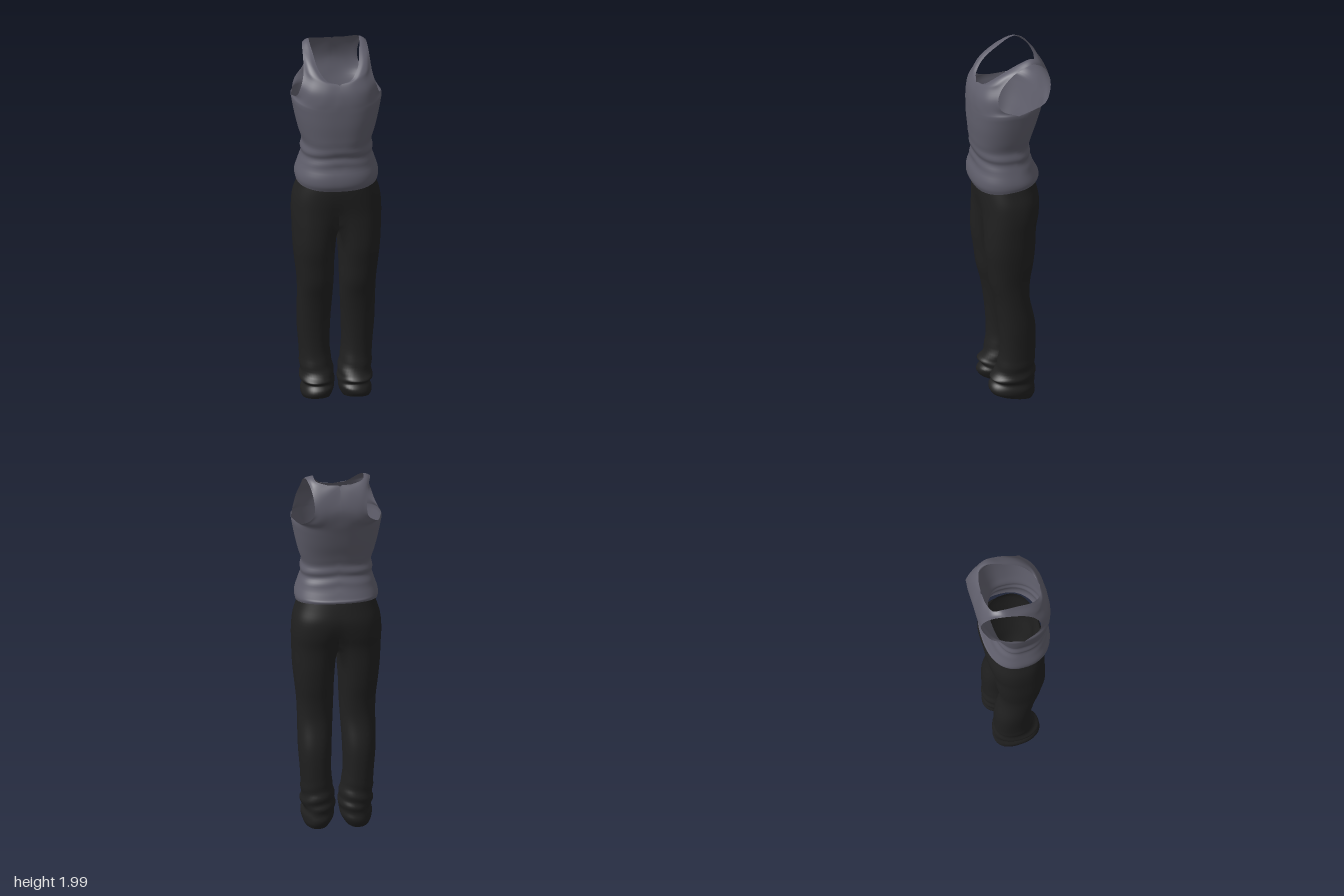
import * as THREE from 'three';
import { mergeGeometries, mergeVertices } from 'three/addons/utils/BufferGeometryUtils.js';

const { lerp } = THREE.MathUtils;
const V = (x, y, z) => new THREE.Vector3(x, y, z);
const N = 16; // segments across each row
const range = (n, fn) => Array.from({ length: n + 1 }, (_, i) => fn(i / n));
// Signed power: squares off an ellipse a little
const sq = (v, p = 0.83) => Math.sign(v) * Math.abs(v) ** p;

// Smooth patch through rows of points; side -1 mirrors it across x
function patch(rows, side, flip = false, fold = null) {
  const steps = (rows.length - 1) * 4;
  const cols = rows[0].map((_, i) => new THREE.CatmullRomCurve3(rows.map(r => r[i])).getPoints(steps));
  const n = cols.length, pos = [], idx = [];
  for (let j = 0; j <= steps; j++) {
    for (let i = 0; i < n; i++) {
      const p = cols[i][j].clone();
      if (fold) fold(p);
      pos.push(p.x * side, p.y, p.z);
      if (j === steps || i === n - 1) continue;
      const a = j * n + i, b = a + 1, c = a + n, d = c + 1;
      if ((side < 0) !== flip) idx.push(a, b, c, b, d, c);
      else idx.push(a, c, b, b, c, d);
    }
  }
  const g = new THREE.BufferGeometry();
  g.setAttribute('position', new THREE.Float32BufferAttribute(pos, 3));
  g.setIndex(idx);
  return g;
}

function weld(parts) {
  const g = mergeVertices(mergeGeometries(parts), 1e-4);
  g.computeVertexNormals();
  return g;
}

// ---- Tank top ----
function tankTopGeometry() {
  // Half rings: y, half width, front z, back z, side lift, back lift
  const levels = [
    [1.70, 0.235, 0.2, -0.165, 0.035, 0], [1.62, 0.218, 0.2, -0.14, 0.02, 0],
    [1.55, 0.197, 0.195, -0.115, 0, 0], [1.49, 0.18, 0.19, -0.1, 0, 0],
    [1.45, 0.187, 0.183, -0.103, 0, 0], [1.42, 0.184, 0.18, -0.105, 0, 0],
    [1.38, 0.195, 0.183, -0.12, 0, 0], [1.32, 0.214, 0.198, -0.145, 0, 0],
    [1.28, 0.216, 0.198, -0.152, 0, 0.03], [1.25, 0.212, 0.185, -0.15, 0, 0.05],
  ];
  const rings = levels.map(([y, w, zf, zb, lift, tilt]) => range(2 * N, t => {
    const s = Math.sin(t * Math.PI), c = Math.cos(t * Math.PI);
    return V(w * sq(s), y + lift * s * s + tilt * (1 - c) / 2,
      0.01 + (c > 0 ? zf - 0.01 : 0.01 - zb) * sq(c));
  }));
  // Rows from chest over the shoulder to the back, each from centre or neck to armhole
  const straps = [
    [[0, 1.75, 0.198], [0.1, 1.75, 0.188], [0.165, 1.755, 0.155], [0.212, 1.768, 0.095]],
    [[0, 1.80, 0.186], [0.08, 1.80, 0.183], [0.145, 1.805, 0.16], [0.195, 1.82, 0.11]],
    [[0, 1.84, 0.165], [0.07, 1.845, 0.163], [0.13, 1.855, 0.14], [0.18, 1.87, 0.088]],
    [[0.06, 1.857, 0.145], [0.1, 1.873, 0.138], [0.145, 1.89, 0.11], [0.175, 1.905, 0.06]],
    [[0.102, 1.905, 0.095], [0.13, 1.92, 0.082], [0.153, 1.932, 0.057], [0.172, 1.942, 0.02]],
    [[0.12, 1.96, 0.01], [0.138, 1.966, 0], [0.155, 1.968, -0.013], [0.17, 1.968, -0.028]],
    [[0.13, 2.0, -0.08], [0.142, 1.998, -0.08], [0.154, 1.993, -0.082], [0.165, 1.985, -0.085]],
    [[0.12, 1.99, -0.125], [0.132, 1.984, -0.13], [0.142, 1.975, -0.134], [0.15, 1.96, -0.138]],
    [[0.06, 1.976, -0.148], [0.09, 1.962, -0.158], [0.118, 1.944, -0.166], [0.14, 1.92, -0.172]],
    [[0, 1.97, -0.155], [0.05, 1.94, -0.174], [0.1, 1.9, -0.188], [0.135, 1.86, -0.194]],
    [[0, 1.86, -0.198], [0.05, 1.845, -0.199], [0.1, 1.83, -0.198], [0.145, 1.81, -0.19]],
    [[0, 1.77, -0.186], [0.07, 1.768, -0.184], [0.135, 1.766, -0.175], [0.195, 1.763, -0.145]],
  ].map(r => new THREE.CatmullRomCurve3(r.map(p => V(...p))).getPoints(N));
  const upper = [rings[0].slice(0, N + 1), ...straps, rings[0].slice(N).reverse()];
  // Soft creases at the waist
  const fold = p => {
    const k = Math.max(0, 1 - Math.abs(p.y - 1.43) / 0.11);
    p.z += 0.004 * k * Math.sin(p.y * 95 + p.x * 12) * Math.sign(p.z);
  };
  return weld([1, -1].flatMap(s => [patch(rings, s, false, fold), patch(upper, s, true)]));
}

// ---- Trousers ----
function trousersGeometry() {
  // y, inner x, outer x, front z, back z, split into legs (0 hips, 1 leg), hem slope
  const levels = [
    [1.34, 0, 0.178, 0.15, -0.11, 0, 0], [1.25, 0, 0.205, 0.165, -0.135, 0, 0],
    [1.18, 0, 0.226, 0.165, -0.15, 0.1, 0], [1.1, 0, 0.233, 0.16, -0.143, 0.35, 0],
    [1.02, 0, 0.231, 0.157, -0.123, 0.65, 0], [0.9, 0.005, 0.226, 0.15, -0.11, 1, 0],
    [0.8, 0.012, 0.216, 0.137, -0.1, 1, 0], [0.7, 0.015, 0.205, 0.125, -0.085, 1, 0],
    [0.6, 0.02, 0.202, 0.1, -0.083, 1, 0], [0.45, 0.028, 0.201, 0.078, -0.112, 1, 0],
    [0.3, 0.03, 0.19, 0.07, -0.115, 1, 0], [0.22, 0.02, 0.187, 0.08, -0.113, 1, 0],
    [0.16, 0.01, 0.184, 0.098, -0.117, 1, 0], [0.125, 0.008, 0.186, 0.12, -0.118, 1, 0.06],
    [0.095, 0.012, 0.174, 0.108, -0.112, 1, 0.12], [0.06, 0.012, 0.182, 0.122, -0.118, 1, 0.18],
    [0.03, 0.022, 0.182, 0.124, -0.112, 1, 0.2], [0.005, 0.035, 0.174, 0.115, -0.1, 1, 0.23],
  ];
  const crotch = 4, open = 50 * Math.PI / 180;
  const legPoint = ([y, x0, x1, zf, zb, , slope], a) => {
    const z = (zf + zb) / 2 + (zf - zb) / 2 * sq(Math.cos(a), 0.9);
    return V((x0 + x1) / 2 + (x1 - x0) / 2 * sq(Math.sin(a), 0.9), y + slope * (z + 0.1), z);
  };
  const outer = levels.map((l, j) => range(2 * N, t => {
    const [y, , x1, zf, zb, split] = l, a = t * Math.PI;
    const hip = V(x1 * sq(Math.sin(a)), y, (zf + zb) / 2 + (zf - zb) / 2 * sq(Math.cos(a)));
    const p = hip.lerp(legPoint(l, lerp(-open, Math.PI + open, t)), split);
    if (j <= crotch && (t === 0 || t === 1)) p.x = 0;
    return p;
  }));
  // Inner leg, hanging from the curved crotch seam
  const inner = levels.slice(crotch).map((l, j) => range(N, t => {
    const row = outer[crotch + j], first = row[2 * N], last = row[0];
    if (t === 0) return first.clone();
    if (t === 1) return last.clone();
    if (j > 0) return legPoint(l, lerp(Math.PI + open, 2 * Math.PI - open, t));
    const p = first.clone().lerp(last, t);
    p.y -= 0.04 * Math.sin(t * Math.PI);
    return p;
  }));
  // Bunched cloth above the shoes
  const fold = p => {
    const k = Math.max(0, 1 - Math.abs(p.y - 0.15) / 0.13), cx = p.x - 0.097;
    const w = 1 + 0.045 * k * Math.sin(p.y * 85 + cx * 22 + p.z * 9);
    p.x = 0.097 + cx * w;
    p.z *= w;
  };
  return weld([1, -1].flatMap(s => [patch(outer, s, false, fold), patch(inner, s, false, fold)]));
}

export function createModel() {
  const group = new THREE.Group();
  group.name = 'outfit';
  const greyCloth = new THREE.MeshStandardMaterial({ color: 0x5f5e6b, side: THREE.DoubleSide });
  greyCloth.name = 'grey cloth';
  const blackCloth = new THREE.MeshStandardMaterial({ color: 0x202020, side: THREE.DoubleSide });
  blackCloth.name = 'black cloth';
  const top = new THREE.Mesh(tankTopGeometry(), greyCloth);
  top.name = 'tankTop';
  const trousers = new THREE.Mesh(trousersGeometry(), blackCloth);
  trousers.name = 'trousers';
  group.add(top, trousers);
  return group;
}
